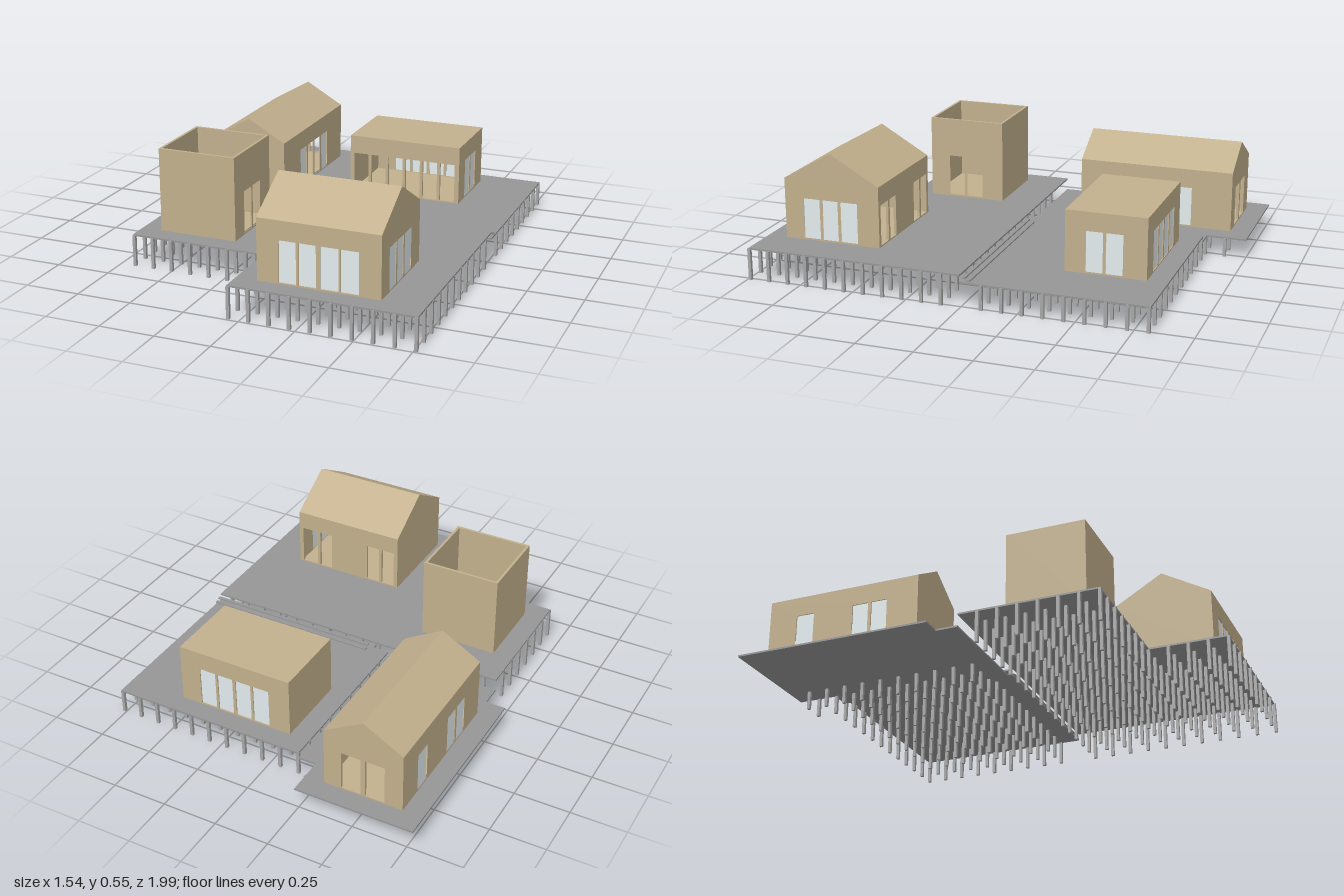
import * as THREE from 'three';
import { mergeGeometries } from 'three/addons/utils/BufferGeometryUtils.js';

const T = 0.012; // wall thickness
const mat = (color) => new THREE.MeshStandardMaterial({ color });
const wood = mat(0xc2b08d), deckGrey = mat(0x969696), postGrey = mat(0xa6a6a6), glassMat = mat(0xe2ebee);

const add = (group, name, geometry, material) => {
  const mesh = new THREE.Mesh(geometry, material);
  mesh.name = name;
  group.add(mesh);
  return mesh;
};
const toShape = (pts) => new THREE.Shape(pts.map(([x, y]) => new THREE.Vector2(x, y)));
const extrude = (shape, depth) => new THREE.ExtrudeGeometry(shape, { depth, bevelEnabled: false });
const rect = (a, b, c, d) => [[a, c], [b, c], [b, d], [a, d]];

// Extrudes an upright profile, drawn as [x or z, y], along the given axis from 'at'
function upright(axis, at, depth, pts, holes = []) {
  const s = axis === 'x' ? -1 : 1;
  const flip = (list) => list.map(([u, y]) => [u * s, y]);
  const shape = toShape(flip(pts));
  holes.forEach((h) => shape.holes.push(new THREE.Path(toShape(flip(h)).getPoints())));
  const g = extrude(shape, depth);
  if (axis === 'x') g.rotateY(Math.PI / 2);
  return axis === 'x' ? g.translate(at, 0, 0) : g.translate(0, 0, at);
}

// One house. Openings per wall: [from, to, glazed]; 'ridge' is the axis the ridge runs along
function house(name, { x, z, base, eave, peak, ridge = 'z', roof = true, doorTop, openings }) {
  const group = new THREE.Group();
  group.name = name;
  const cross = ridge === 'z' ? x : z;
  const along = ridge === 'z' ? z : x;
  const side = ridge === 'z' ? 'x' : 'z';
  const mid = (cross[0] + cross[1]) / 2;
  const top = peak ? eave - T : eave;

  const wall = (label, axis, at, pts, list = []) => {
    const holes = list.map(([a, b]) => rect(a, b, base + 0.006, doorTop));
    add(group, label, upright(axis, at, T, pts, holes), wood);
    list.forEach(([a, b, glazed], i) => {
      if (glazed) add(group, 'windowPane', upright(axis, at + T * 0.4, T * 0.2, holes[i]), glassMat);
    });
  };

  // End walls, gabled when there is a peak
  const end = [[cross[0], base], [cross[1], base], [cross[1], eave]];
  if (peak) end.push([mid, peak]);
  end.push([cross[0], eave]);
  wall('endWall', ridge, along[0], end, openings[ridge + '-']);
  wall('endWall', ridge, along[1] - T, end, openings[ridge + '+']);

  // Side walls fitted between the ends
  const sidePts = rect(along[0] + T, along[1] - T, base, top);
  wall('sideWall', side, cross[0], sidePts, openings[side + '-']);
  wall('sideWall', side, cross[1] - T, sidePts, openings[side + '+']);

  // Roof
  const len = along[1] - along[0] - 2 * T;
  if (peak) {
    const [a, b] = cross;
    const chevron = [[a, eave - T], [mid, peak - T], [b, eave - T], [b, eave], [mid, peak], [a, eave]];
    add(group, 'gableRoof', upright(ridge, along[0] + T, len, chevron), wood);
  } else if (roof) {
    add(group, 'flatRoof', upright(ridge, along[0], len + 2 * T, rect(...cross, eave, eave + T)), wood);
  }
  add(group, 'floor', upright(ridge, along[0] + T, len, rect(cross[0] + T, cross[1] - T, base, base + 0.004)), wood);
  return group;
}

export function createModel() {
  const model = new THREE.Group();

  // Three terraces at stepped heights
  const deck = (name, y, pts) =>
    add(model, name, extrude(toShape(pts), 0.008).rotateX(Math.PI / 2).translate(0, y, 0), deckGrey);
  deck('frontDeck', 0.148, [[-0.685, 0], [0.765, 0], [0.765, 0.988], [-0.055, 0.988], [-0.055, 0.628], [-0.685, 0.628]]);
  deck('backDeck', 0.116, rect(-0.145, 0.765, -0.82, 0));
  deck('lowDeck', 0.092, [[-0.775, -1], [-0.23, -1], [-0.23, -0.82], [-0.14, -0.82], [-0.14, 0],
    [-0.685, 0], [-0.685, -0.1], [-0.775, -0.1]]);

  // Grid of posts under the terraces
  const posts = [];
  for (let i = 0; i <= 16; i++) {
    for (let k = -10; k <= 11; k++) {
      const x = -0.68 + 0.09 * i, z = 0.09 * k - 0.003;
      let h = 0;
      if (k > 0 && (k <= 7 || x > -0.06)) h = 0.144;
      else if (k < 0 && k >= -9 && x > -0.15) h = 0.112;
      else if (k < 0 && x > -0.33 && x < -0.2) h = 0.088;
      if (h) posts.push(new THREE.BoxGeometry(0.014, h, 0.014).translate(x, h / 2, z));
    }
  }
  add(model, 'posts', mergeGeometries(posts), postGrey);

  // Steps between the front and back terraces
  for (const [y, z] of [[0.135, -0.017], [0.124, -0.038]]) {
    add(model, 'stepTread', new THREE.BoxGeometry(0.815, 0.006, 0.016).translate(0.3575, y, z), deckGrey);
  }

  model.add(house('frontHouse', {
    x: [0.04, 0.58], z: [0.447, 0.898], base: 0.148, eave: 0.423, peak: 0.553, ridge: 'x', doorTop: 0.338,
    openings: {
      'z+': [[0.137, 0.213, 1], [0.225, 0.3, 1], [0.318, 0.397, 1], [0.407, 0.485, 1]],
      'x+': [[0.55, 0.63, 1], [0.643, 0.717, 1], [0.73, 0.808, 1]],
      'z-': [[0.06, 0.125], [0.14, 0.205], [0.4, 0.465], [0.48, 0.56]],
    },
  }));
  model.add(house('openTower', {
    x: [-0.592, -0.23], z: [0.178, 0.538], base: 0.148, eave: 0.528, roof: false, doorTop: 0.348,
    openings: { 'x+': [[0.28, 0.357], [0.37, 0.445]] },
  }));
  model.add(house('longHouse', {
    x: [-0.683, -0.32], z: [-0.908, -0.188], base: 0.092, eave: 0.368, peak: 0.472, doorTop: 0.28,
    openings: {
      'x+': [[-0.46, -0.385, 1], [-0.545, -0.475], [-0.63, -0.56], [-0.72, -0.645, 1]],
      'x-': [[-0.775, -0.69, 1], [-0.5, -0.425, 1], [-0.41, -0.335, 1]],
      'z-': [[-0.6, -0.51], [-0.49, -0.4]],
    },
  }));
  model.add(house('backHouse', {
    x: [-0.052, 0.492], z: [-0.73, -0.37], base: 0.116, eave: 0.378, doorTop: 0.305,
    openings: {
      'z+': Array.from({ length: 6 }, (_, i) => [-0.032 + 0.086 * i, 0.04 + 0.086 * i]),
      'x+': [[-0.625, -0.55, 1], [-0.537, -0.462, 1]],
      'z-': [[0.05, 0.128, 1], [0.14, 0.215, 1], [0.23, 0.305, 1], [0.317, 0.395, 1]],
    },
  }));
  return model;
}
